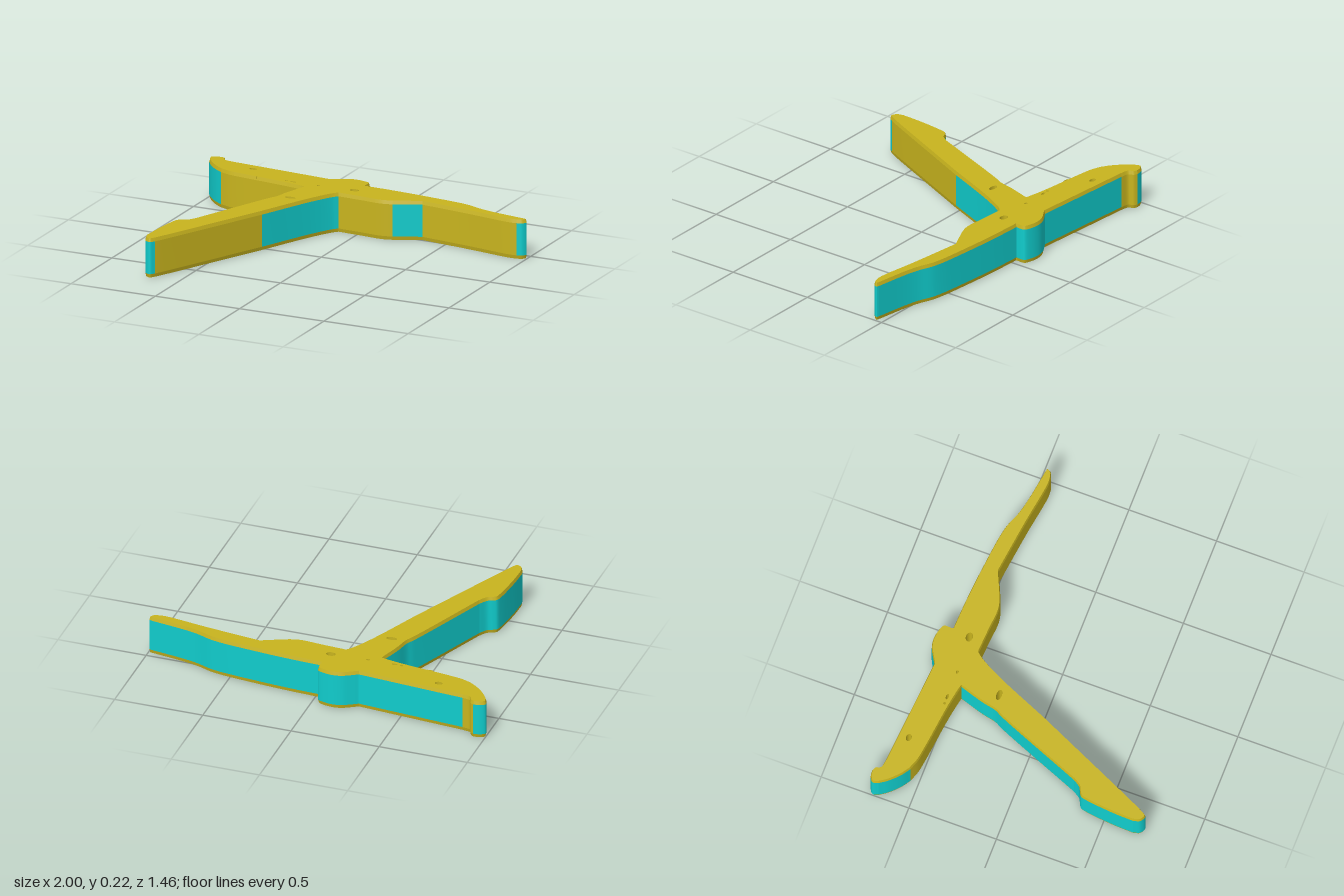
import * as THREE from 'three';

const HEIGHT = 0.22, RIM = 0.02, INSET = 0.005;

// Outline as [x, z] runs, clockwise seen from above; each run starts where the previous one ends.
const RUNS = [
  ['knobBand', 'teal', [[-0.992, -0.675], [-1, -0.708], [-0.975, -0.727], [-0.938, -0.733]]],
  ['knobNotch', 'gold', [[-0.917, -0.721], [-0.905, -0.696], [-0.86, -0.685]]],
  ['backArmBand', 'teal', [[-0.56, -0.661], [-0.254, -0.636]]],
  ['backHumpBand', 'teal', [[-0.215, -0.66], [-0.175, -0.681], [-0.13, -0.69], [-0.075, -0.684], [-0.036, -0.668],
    [-0.031, -0.65], [-0.033, -0.613]]],
  ['backLongArmBand', 'teal', [[0.14, -0.605], [0.35, -0.588], [0.6, -0.556], [0.7, -0.52], [0.78, -0.5], [0.98, -0.468]]],
  ['armTipBand', 'teal', [[0.995, -0.462], [0.98, -0.437], [0.95, -0.427]]],
  ['longArmFront', 'gold', [[0.91, -0.425], [0.67, -0.46], [0.357, -0.5]]],
  ['gripBand', 'teal', [[0.27, -0.46], [0.213, -0.435]]],
  ['gripFront', 'gold', [[0.175, -0.424], [0.135, -0.42], [0.03, -0.428], [-0.11, -0.436]]],
  ['legInnerBand', 'teal', [[-0.135, -0.405], [-0.2, -0.285], [-0.337, 0.03]]],
  ['legInnerSide', 'gold', [[-0.63, 0.665], [-0.648, 0.7]]],
  ['legTipBand', 'teal', [[-0.667, 0.724], [-0.7, 0.708], [-0.713, 0.67]]],
  ['legOuterTipBand', 'teal', [[-0.709, 0.56], [-0.692, 0.4], [-0.682, 0.363], [-0.665, 0.35], [-0.635, 0.335], [-0.607, 0.294]]],
  ['legOuterBand', 'teal', [[-0.41, -0.19], [-0.385, -0.24], [-0.367, -0.32], [-0.325, -0.455]]],
  ['shortArmFront', 'gold', [[-0.45, -0.477], [-0.72, -0.51], [-0.8, -0.523], [-0.858, -0.544]]],
  ['shortArmEndBand', 'teal', [[-0.906, -0.577], [-0.96, -0.63], [-0.992, -0.675]]],
];

// Through holes: centre x, centre z, radius x, radius z
const HOLES = [
  [-0.70, -0.613, 0.021, 0.015], [-0.61, -0.5, 0.018, 0.004], [-0.45, -0.503, 0.008, 0.007],
  [-0.41, -0.503, 0.016, 0.008], [-0.26, -0.503, 0.01, 0.008], [-0.052, -0.513, 0.026, 0.019],
  [-0.303, -0.248, 0.03, 0.015],
];

// Vertical strip between two polylines of [x, z], facing left of travel seen from above
function ribbon(low, y0, high, y1) {
  const pos = [], index = [];
  low.forEach((p, i) => {
    pos.push(p[0], y0, p[1], high[i][0], y1, high[i][1]);
    if (i) {
      const a = 2 * i - 2;
      index.push(a, a + 1, a + 3, a, a + 3, a + 2);
    }
  });
  const g = new THREE.BufferGeometry();
  g.setAttribute('position', new THREE.Float32BufferAttribute(pos, 3));
  g.setIndex(index);
  g.computeVertexNormals();
  return g;
}

function smoothRun(points) {
  const curve = new THREE.CatmullRomCurve3(points.map(([x, z]) => new THREE.Vector3(x, 0, z)));
  return curve.getPoints((points.length - 1) * 6).map((v) => [v.x, v.z]);
}

// Move each point of a closed outline inward along its averaged normal
function insetOutline(points, d) {
  const n = points.length;
  return points.map(([x, z], i) => {
    const a = points[(i + n - 1) % n], b = points[(i + 1) % n];
    const tx = b[0] - a[0], tz = b[1] - a[1], len = Math.hypot(tx, tz);
    return [x - (d * tz) / len, z + (d * tx) / len];
  });
}

function holeLoop([cx, cz, rx, rz]) {
  return Array.from({ length: 21 }, (_, i) => {
    const t = (i / 20) * Math.PI * 2;
    return [cx + rx * Math.cos(t), cz - rz * Math.sin(t)];
  });
}

// Flat face with holes; side is 1 for the top, -1 for the bottom
function cap(outline, loops, side) {
  const flat = (pts) => pts.map(([x, z]) => new THREE.Vector2(x, -side * z));
  const shape = new THREE.Shape(flat(outline));
  loops.forEach((l) => shape.holes.push(new THREE.Path(flat(l.slice(0, -1)))));
  return new THREE.ShapeGeometry(shape).rotateX((-side * Math.PI) / 2).translate(0, side > 0 ? HEIGHT : 0, 0);
}

export function createModel() {
  const group = new THREE.Group();
  const mats = {
    gold: new THREE.MeshStandardMaterial({ color: 0xc8b41e }),
    teal: new THREE.MeshStandardMaterial({ color: 0x10cccc }),
  };
  const add = (name, geometry, color) => {
    const mesh = new THREE.Mesh(geometry, mats[color]);
    mesh.name = name;
    group.add(mesh);
  };

  // Join the runs into one closed outline
  const outline = [], spans = [];
  RUNS.forEach(([name, color, pts], i) => {
    const path = smoothRun(i ? [RUNS[i - 1][2].at(-1), ...pts] : pts);
    spans.push({ name, color, start: outline.length, count: path.length });
    outline.push(...path.slice(0, -1));
  });
  const inner = insetOutline(outline, INSET);

  // Side walls: coloured middle strip between two slightly bevelled gold rims
  spans.forEach(({ name, color, start, count }) => {
    const cut = (src) => Array.from({ length: count }, (_, i) => src[(start + i) % src.length]);
    const o = cut(outline), n = cut(inner);
    add(name, ribbon(o, RIM, o, HEIGHT - RIM), color);
    add(name + 'LowerRim', ribbon(n, 0, o, RIM), 'gold');
    add(name + 'UpperRim', ribbon(o, HEIGHT - RIM, n, HEIGHT), 'gold');
  });

  // Top and bottom faces and the hole walls
  const loops = HOLES.map(holeLoop);
  add('topFace', cap(inner, loops, 1), 'gold');
  add('bottomFace', cap(inner, loops, -1), 'gold');
  loops.forEach((l) => add('holeWall', ribbon(l, 0, l, HEIGHT), 'gold'));
  return group;
}
